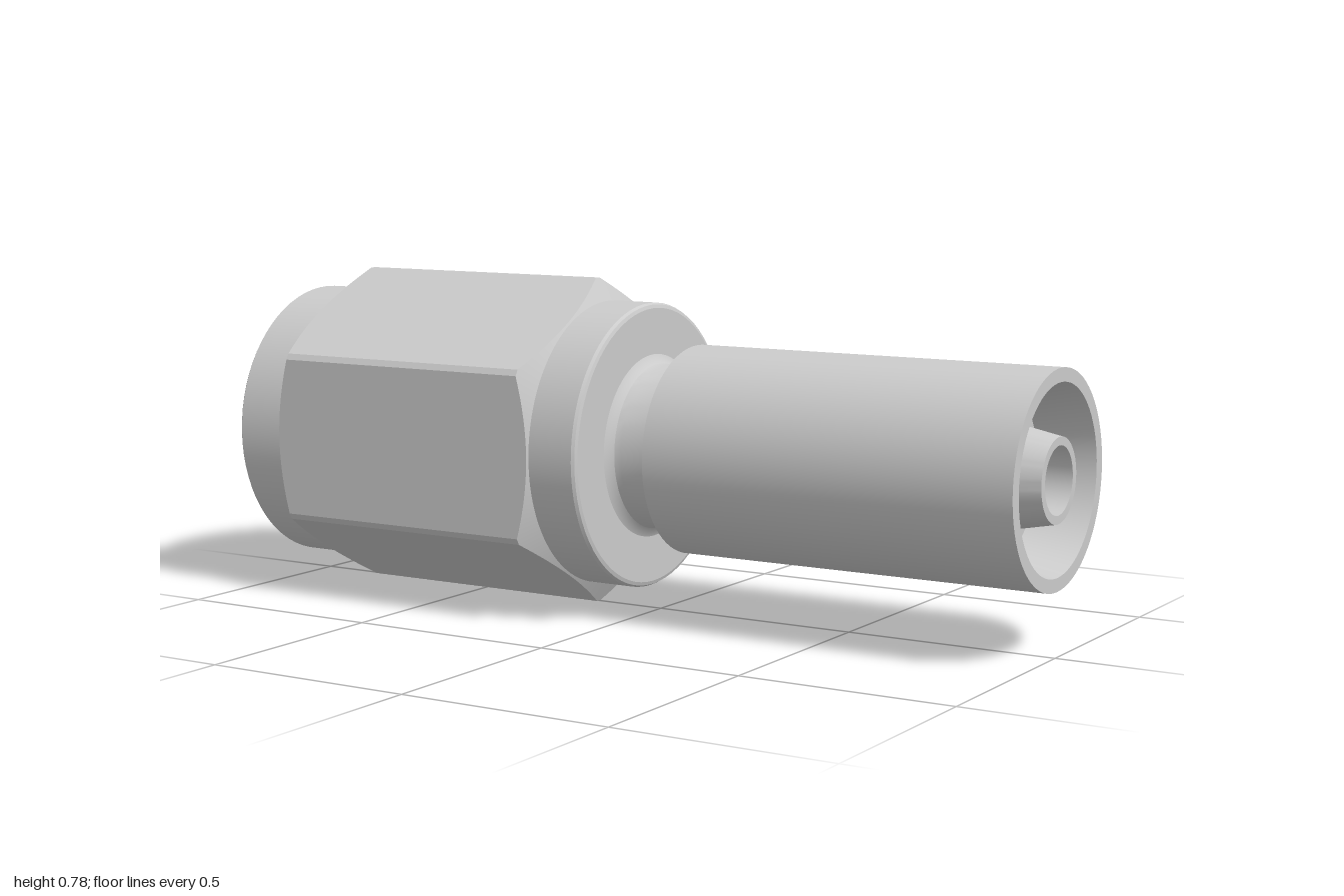
import * as THREE from 'three';
import { toCreasedNormals } from 'three/addons/utils/BufferGeometryUtils.js';

const AXIS_Y = 0.388;
const COLLAR_R = 0.335;
const material = new THREE.MeshStandardMaterial({ color: 0xcccccc });

function addPart(group, name, geometry) {
  const mesh = new THREE.Mesh(toCreasedNormals(geometry, 0.35), material);
  mesh.name = name;
  group.add(mesh);
}

// Turned part: profile of [x, radius] pairs, spun about the x axis.
function turned(profile, segments = 72) {
  const points = profile.map(([x, r]) => new THREE.Vector2(r, x));
  return new THREE.LatheGeometry(points, segments).rotateZ(-Math.PI / 2);
}

// Hexagonal sleeve whose ends are cut by a cone, giving curved chamfers.
function hexSleeve(x0, x1, apothem, cornerR, slope) {
  const steps = 20;
  const half = Math.acos(apothem / cornerR);
  const positions = [];
  const indices = [];
  const count = 6 * (steps + 1);
  for (let side = 0; side < 6; side++) {
    for (let i = 0; i <= steps; i++) {
      const a = half * (2 * i / steps - 1);
      const r = apothem / Math.cos(a);
      const t = a + side * Math.PI / 3;
      const cut = (r - COLLAR_R) * slope;
      const rings = [[x0, COLLAR_R], [x0 + cut, r], [x1 - cut, r], [x1, COLLAR_R]];
      for (const [x, rad] of rings) positions.push(x, rad * Math.sin(t), rad * Math.cos(t));
    }
  }
  for (let i = 0; i < count; i++) {
    const j = (i + 1) % count;
    for (let k = 0; k < 3; k++) {
      const a = i * 4 + k, b = j * 4 + k;
      indices.push(a, a + 1, b, b, a + 1, b + 1);
    }
  }
  const geometry = new THREE.BufferGeometry();
  geometry.setAttribute('position', new THREE.Float32BufferAttribute(positions, 3));
  geometry.setIndex(indices);
  // Make sure the faces point away from the axis.
  const p = i => new THREE.Vector3().fromBufferAttribute(geometry.attributes.position, i);
  const n = p(2).sub(p(1)).cross(p(5).sub(p(1)));
  const radial = p(1).setX(0);
  if (n.dot(radial) < 0) geometry.setIndex(indices.reverse());
  return geometry;
}

export function createModel() {
  const group = new THREE.Group();
  group.name = 'hoseFitting';
  const body = new THREE.Group();
  body.name = 'fittingBody';
  body.position.y = AXIS_Y;
  group.add(body);

  // Nut: round collars at both ends, with an open bore on the left end
  addPart(body, 'nutShell', turned([
    [-1, 0.3], [-1, 0.329], [-0.994, COLLAR_R], [-0.03, COLLAR_R], [-0.023, 0.331],
    [-0.02, 0.323], [-0.02, 0.19], [-0.2, 0.19], [-0.2, 0.27], [-0.97, 0.27], [-1, 0.3],
  ]));
  addPart(body, 'nutHexagon', hexSleeve(-0.875, -0.145, 0.34, 0.388, 0.57));

  // Stem: tapered sealing nose inside the nut, filleted neck outside it
  addPart(body, 'stem', turned([
    [-0.5, 0.075], [-0.5, 0.13], [-0.35, 0.22], [-0.2, 0.22], [-0.2, 0.188], [-0.021, 0.188],
    [-0.02, 0.215], [-0.014, 0.203], [-0.005, 0.194], [0.01, 0.19], [0.1, 0.19],
  ]));

  // Ferrule: outer sleeve with a tapered, recessed mouth
  addPart(body, 'ferrule', turned([
    [0.1, 0.188], [0.1, 0.243], [1, 0.243], [1, 0.212], [0.87, 0.185], [0.87, 0.118],
  ]));

  // Tapered nipple in the mouth, and the passage running through the fitting
  addPart(body, 'hoseNipple', turned([[0.87, 0.12], [1, 0.095], [1, 0.076]]));
  addPart(body, 'passage', turned([[1, 0.076], [-0.5, 0.076]], 24));

  return group;
}
